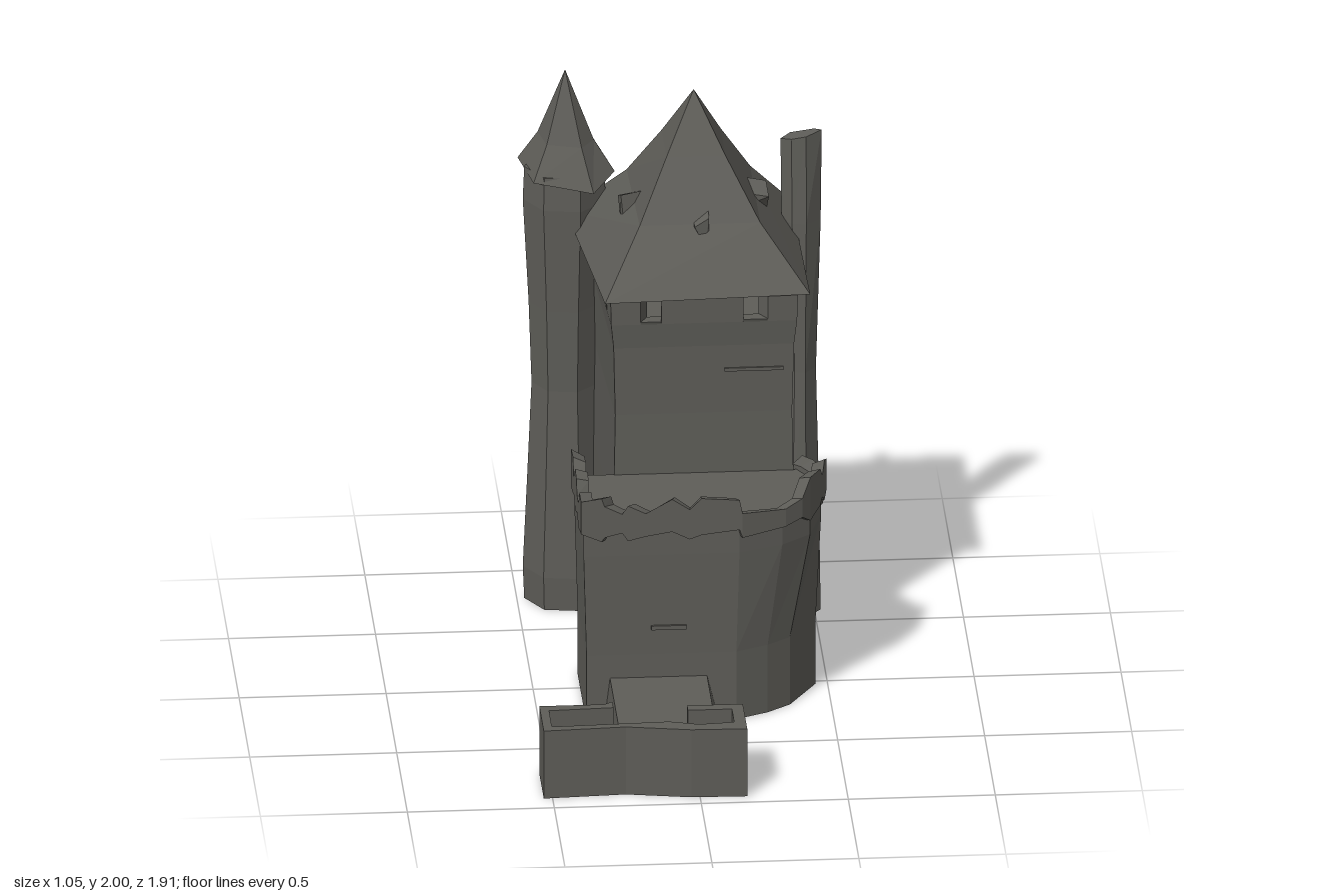
import * as THREE from 'three';

const stone = new THREE.MeshStandardMaterial({ color: 0x5e5d58, side: THREE.DoubleSide });
stone.name = 'dark stone';

// Skin a list of equal-length rings with flat faces; optionally close the ends.
function loft(rings, capStart = false, capEnd = false) {
  const pos = [];
  const tri = (a, b, c) => pos.push(...a, ...b, ...c);
  const n = rings[0].length;
  for (let i = 0; i < rings.length - 1; i++) {
    for (let j = 0; j < n; j++) {
      const a = rings[i][j], b = rings[i][(j + 1) % n];
      const c = rings[i + 1][(j + 1) % n], d = rings[i + 1][j];
      tri(a, b, c);
      tri(a, c, d);
    }
  }
  const cap = (ring, flip) => {
    const m = [0, 1, 2].map(k => ring.reduce((s, p) => s + p[k], 0) / n);
    ring.forEach((p, j) => {
      const q = ring[(j + 1) % n];
      if (flip) tri(q, p, m); else tri(p, q, m);
    });
  };
  if (capStart) cap(rings[0], true);
  if (capEnd) cap(rings[rings.length - 1], false);
  const g = new THREE.BufferGeometry();
  g.setAttribute('position', new THREE.Float32BufferAttribute(pos, 3));
  g.computeVertexNormals();
  return g;
}

// A footprint [x, z, height] scaled about a centre; y may be a number or null for the point's own height.
const level = (pts, y, s = 1, c = [0, 0], sz = s) =>
  pts.map(p => [c[0] + (p[0] - c[0]) * s, y === null ? p[2] : y, c[1] + (p[1] - c[1]) * sz]);

// Vertical prism over a plan outline given as [x, z].
function prism(pts, y0, y1) {
  const shape = new THREE.Shape(pts.map(p => new THREE.Vector2(p[0], -p[1])));
  return new THREE.ExtrudeGeometry(shape, { depth: y1 - y0, bevelEnabled: false })
    .rotateX(-Math.PI / 2).translate(0, y0, 0);
}

export function createModel() {
  const model = new THREE.Group();
  model.name = 'ruinedCastle';
  const add = (name, geometry) => {
    const mesh = new THREE.Mesh(geometry, stone);
    mesh.name = name;
    model.add(mesh);
    return mesh;
  };

  // Keep: hollow four-sided tower with window gaps under the eaves
  const corners = [[-0.22, -0.12], [0.40, -0.12], [0.385, -0.83], [-0.25, -0.82]];
  const gaps = [
    [[0.16, 0.27], [0.71, 0.84]],
    [[0.18, 0.30], [0.48, 0.59], [0.77, 0.88]],
    [[0.08, 0.19], [0.40, 0.51], [0.69, 0.80]],
    [[0.12, 0.22], [0.41, 0.52], [0.70, 0.82]],
  ];
  const plan = [];
  corners.forEach((a, i) => {
    const b = corners[(i + 1) % 4];
    const at = (t, h) => plan.push([a[0] + (b[0] - a[0]) * t, a[1] + (b[1] - a[1]) * t, h]);
    at(0, 1.405);
    for (const [s, e] of gaps[i]) {
      at(s, 1.405); at(s, 1.3); at(e, 1.3); at(e, 1.405);
    }
  });
  const kc = [0.08, -0.47];
  add('keep', loft([
    level(plan, 1.2, 0.74, kc), level(plan, 0, 0.74, kc), level(plan, 0, 1, kc),
    level(plan, 0.6, 0.99, kc), level(plan, 0.95, 0.97, kc), level(plan, 1.2, 0.99, kc),
    level(plan, 1.29, 1.02, kc), level(plan, null, 1.03, kc), level(plan, null, 0.9, kc),
    level(plan, 1.27, 0.9, kc),
  ], true, true));

  // Keep roof: flared four-sided spire
  add('keepRoof', loft([
    [[-0.25, 1.39, -0.07], [0.45, 1.39, -0.10], [0.44, 1.40, -0.88], [-0.33, 1.40, -0.84]],
    [[-0.12, 1.6, -0.24], [0.29, 1.6, -0.24], [0.29, 1.6, -0.72], [-0.13, 1.6, -0.72]],
    [[-0.02, 1.8, -0.36], [0.18, 1.8, -0.36], [0.18, 1.8, -0.59], [-0.02, 1.8, -0.59]],
    [0, 1, 2, 3].map(() => [0.08, 2, -0.47]),
  ]));

  // Roof dormers: little wedges, one per roof face
  [[0.09, -0.26, 0], [0.29, -0.49, 1], [0.07, -0.72, 2], [-0.13, -0.47, 3]].forEach(([x, z, k]) => {
    const w = k % 2 ? 0.035 : 0.025;
    const dormer = add('roofDormer', loft([
      [[w * 0.4, 1.53, 0.04], [w, 1.53, 0.03], [w, 1.56, -0.06], [-w, 1.56, -0.06]],
      [[-w, 1.60, 0.045], [w, 1.63, 0.04], [w, 1.65, -0.06], [-w, 1.62, -0.06]],
    ], true, true));
    dormer.rotation.y = k * Math.PI / 2;
    dormer.position.set(x, 0, z);
  });

  // Corner turret, pinched at mid height, and its pointed cap
  const tc = [-0.335, -0.78];
  const ring = Array.from({ length: 7 }, (_, i) => {
    const a = i / 7 * Math.PI * 2 + 0.3;
    return [tc[0] + Math.sin(a), tc[1] + Math.cos(a)];
  });
  add('turret', loft([
    [0, 0.14], [0.12, 0.145], [0.45, 0.13], [0.8, 0.115], [1.1, 0.125], [1.48, 0.145], [1.6, 0.14],
  ].map(([y, r]) => level(ring, y, r, tc)), true, true));
  const cap = [
    [-0.45, -0.67, 1.58], [-0.25, -0.61, 1.56], [-0.17, -0.73, 1.59],
    [-0.20, -0.90, 1.58], [-0.33, -0.96, 1.58], [-0.49, -0.87, 1.59],
  ];
  add('turretRoof', loft([
    level(cap, 1.58, 0.75, tc), level(cap, null, 1, tc), level(cap, 1.7, 0.58, tc), level(cap, 1.95, 0, tc),
  ], true));

  // Slender pier against the right wall, thinning to a slanting top
  const pc = [0.455, -0.6];
  const pier = [
    [0.42, -0.55], [0.47, -0.54], [0.525, -0.60], [0.50, -0.64], [0.42, -0.66], [0.385, -0.60],
  ].map(([x, z]) => [x, z, 1.765 + (x - pc[0]) * 0.2]);
  add('pier', loft([
    level(pier, 0, 0.95, pc, 1), level(pier, 0.5, 0.85, pc, 0.9), level(pier, 0.9, 0.72, pc, 0.8),
    level(pier, 1.45, 0.95, pc, 0.8), level(pier, null, 1, pc, 0.55),
  ], true, true));

  // Front bastion: hollow below, flat deck on top, chamfered at the foot of its right corner
  const bc = [0.06, 0.08];
  const foot = [[-0.34, 0.30], [0.17, 0.30], [0.28, 0.25], [0.36, 0.19], [0.46, 0.02], [0.45, -0.13], [-0.34, -0.13]];
  const head = [[-0.35, 0.305], [0.18, 0.305], [0.33, 0.25], [0.43, 0.17], [0.48, 0], [0.45, -0.13], [-0.35, -0.13]];
  add('bastion', loft([
    level(foot, 0.6, 0.8, bc), level(foot, 0, 0.8, bc), level(foot, 0),
    level(foot, 0.25), level(head, 0.62), level(head, 0.73),
  ], true, true));

  // Broken battlements around the open edge of the deck: [x, z, top]
  const edge = [
    [-0.36, -0.15, 0.82], [-0.36, -0.06, 0.83], [-0.36, -0.03, 0.77], [-0.36, 0.04, 0.83],
    [-0.36, 0.10, 0.82], [-0.36, 0.13, 0.77], [-0.36, 0.20, 0.77], [-0.36, 0.24, 0.83],
    [-0.36, 0.32, 0.83], [-0.29, 0.32, 0.84], [-0.28, 0.32, 0.81], [-0.22, 0.32, 0.78],
    [-0.20, 0.32, 0.81], [-0.14, 0.32, 0.78], [-0.05, 0.32, 0.83], [0.01, 0.32, 0.79],
    [0.05, 0.32, 0.83], [0.18, 0.32, 0.82], [0.19, 0.32, 0.77], [0.34, 0.27, 0.76],
    [0.40, 0.23, 0.78], [0.43, 0.19, 0.84], [0.47, 0.10, 0.83], [0.48, 0.06, 0.79],
    [0.49, 0.02, 0.83], [0.50, -0.03, 0.81], [0.49, -0.08, 0.76], [0.46, -0.14, 0.76], [0.43, -0.20, 0.75],
  ];
  add('battlements', loft(edge.map(([x, z, h], i) => {
    const ix = bc[0] + (x - bc[0]) * 0.9, iz = bc[1] + (z - bc[1]) * 0.83;
    const low = i > 25 ? 0.62 : 0.68 + (i % 3) * 0.015;
    return [[x, low, z], [ix, low, iz], [ix, h - 0.01, iz], [x, h, z]];
  }), true, true));

  // Causeway from the gate to the forework
  const way = (y, l, r) => [[l, y, 0.76], [r, y, 0.76], [r, y, 0.28], [l, y, 0.28]];
  add('causeway', loft([way(0, -0.28, 0.11), way(0.165, -0.26, 0.07)], true, true));

  // Forework: low floor with a thin parapet, open towards the causeway
  add('foreworkFloor', prism([
    [-0.28, 0.69], [-0.31, 0.71], [-0.53, 0.71], [-0.53, 0.92], [-0.25, 0.905], [-0.03, 0.945],
    [0.16, 0.95], [0.16, 0.74], [-0.03, 0.74],
  ], 0, 0.16));
  add('foreworkParapet', prism([
    [-0.28, 0.69], [-0.31, 0.71], [-0.53, 0.71], [-0.53, 0.92], [-0.25, 0.905], [-0.03, 0.945], [0.16, 0.95],
    [0.16, 0.74], [-0.03, 0.74], [-0.03, 0.78], [0.12, 0.78], [0.12, 0.89], [0, 0.9], [-0.1, 0.87],
    [-0.5, 0.885], [-0.5, 0.75], [-0.28, 0.74],
  ], 0.16, 0.25));

  // Window frame on the back wall
  const frame = new THREE.Shape([[-0.05, -0.05], [0.05, -0.06], [0.05, 0.05], [-0.05, 0.06]]
    .map(p => new THREE.Vector2(...p)));
  frame.holes.push(new THREE.Path([[-0.03, -0.03], [-0.03, 0.03], [0.03, 0.03], [0.03, -0.03]]
    .map(p => new THREE.Vector2(...p))));
  add('backWindowFrame', new THREE.ExtrudeGeometry(frame, { depth: 0.03, bevelEnabled: false })
    .translate(0.065, 0.87, -0.835));

  // Loose ledges, gate lintel and broken side window hood
  const ledge = (name, w, h, d, x, y, z) =>
    add(name, new THREE.BoxGeometry(w, h, d).translate(x, y, z));
  ledge('wallLedge', 0.03, 0.015, 0.16, 0.385, 1.22, -0.27);
  ledge('wallLedge', 0.03, 0.012, 0.14, 0.375, 1.10, -0.74);
  ledge('wallLedge', 0.20, 0.012, 0.03, 0.26, 1.11, -0.135);
  ledge('gateLintel', 0.12, 0.015, 0.02, -0.06, 0.35, 0.30);
  add('sideWindowHood', loft([
    [[0.38, 0.38, -0.36], [0.40, 0.38, -0.36], [0.38, 0.40, -0.38]],
    [[0.38, 0.58, -0.38], [0.43, 0.56, -0.41], [0.38, 0.50, -0.46]],
  ], true, true));

  return model;
}
